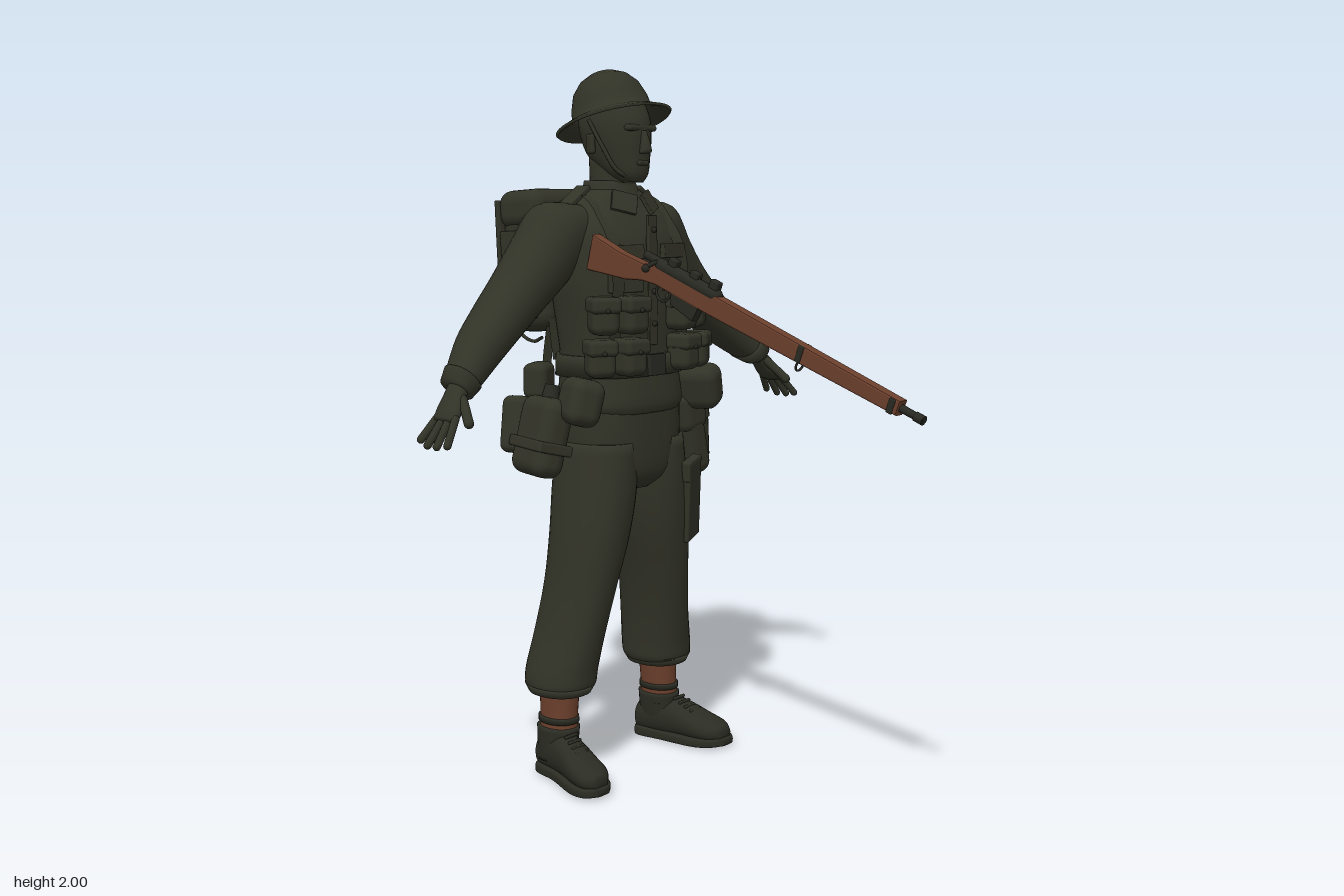
import * as THREE from 'three';
import { RoundedBoxGeometry } from 'three/addons/geometries/RoundedBoxGeometry.js';

const V = (x, y, z) => new THREE.Vector3(x, y, z);
const X = [1, 0, 0], Y = [0, 1, 0], Z = [0, 0, 1];

export function createModel() {
  const mat = (name, color, side = THREE.FrontSide) => {
    const m = new THREE.MeshStandardMaterial({ color, side });
    m.name = name;
    return m;
  };
  const cloth = mat('olive cloth', 0x323327, THREE.DoubleSide);
  const boot = mat('boot leather', 0x2b2c23);
  const wood = mat('brown wood and gaiter', 0x6b3f2c);
  const metal = mat('dark metal', 0x282922);

  const root = new THREE.Group();
  root.name = 'soldier';
  const add = (name, geo, m, pos = [0, 0, 0], rot = [0, 0, 0], parent = root) => {
    const mesh = new THREE.Mesh(geo, m);
    mesh.name = name;
    mesh.position.set(...pos);
    mesh.rotation.set(...rot);
    parent.add(mesh);
    return mesh;
  };
  const box = (name, size, pos, rot, m = cloth, parent = root, r = 0.2) =>
    add(name, new RoundedBoxGeometry(...size, 3, Math.min(...size) * r), m, pos, rot, parent);
  const tube = (name, pts, r, m, parent = root) =>
    add(name, new THREE.TubeGeometry(new THREE.CatmullRomCurve3(pts.map(p => V(...p))), 20, r, 6), m, undefined, undefined, parent);
  const rod = (name, a, b, r, m = cloth) => {
    const p = V(...a), q = V(...b), d = q.clone().sub(p);
    const mesh = add(name, new THREE.CapsuleGeometry(r, d.length(), 4, 10), m, p.clone().add(q).multiplyScalar(0.5).toArray());
    mesh.quaternion.setFromUnitVectors(V(0, 1, 0), d.normalize());
    return mesh;
  };

  // Smooth skin through oval sections [x, y, z, radius along u, radius along v]
  const loft = (name, rows, m = cloth, { u = X, v = Z, s = 1, power = 2.2, seg = 28, sub = 4 } = {}) => {
    const U = V(u[0] * s, u[1], u[2]), W = V(...v);
    const mid = new THREE.CatmullRomCurve3(rows.map(r => V(r[0] * s, r[1], r[2])), false, 'catmullrom');
    const rad = new THREE.CatmullRomCurve3(rows.map(r => V(r[3], r[4], 0)), false, 'catmullrom');
    const n = (rows.length - 1) * sub, pos = [], idx = [];
    const bend = k => Math.sign(k) * Math.abs(k) ** (2 / power);
    for (let i = 0; i <= n; i++) {
      const c = mid.getPoint(i / n), r = rad.getPoint(i / n);
      for (let j = 0; j < seg; j++) {
        const a = j / seg * Math.PI * 2;
        const p = c.clone().addScaledVector(U, r.x * bend(Math.cos(a))).addScaledVector(W, r.y * bend(Math.sin(a)));
        pos.push(p.x, p.y, p.z);
      }
    }
    const first = mid.getPoint(0), last = mid.getPoint(1);
    const flip = U.clone().cross(W).dot(last.clone().sub(first)) < 0;
    const tri = (a, b, c) => flip ? idx.push(a, c, b) : idx.push(a, b, c);
    for (let i = 0; i < n; i++) for (let j = 0; j < seg; j++) {
      const a = i * seg + j, b = i * seg + (j + 1) % seg;
      tri(a, b, b + seg);
      tri(a, b + seg, a + seg);
    }
    const e = pos.length / 3;
    pos.push(...first.toArray(), ...last.toArray());
    for (let j = 0; j < seg; j++) {
      const k = (j + 1) % seg;
      tri(e, k, j);
      tri(e + 1, n * seg + j, n * seg + k);
    }
    const g = new THREE.BufferGeometry();
    g.setAttribute('position', new THREE.Float32BufferAttribute(pos, 3));
    g.setIndex(idx);
    g.computeVertexNormals();
    return add(name, g, m);
  };

  // Flat webbing strap along [y, z] points, widened in x
  const strap = (name, x0, x1, w, path) => {
    const c = new THREE.CatmullRomCurve3(path.map((p, i) => V(x0 + (x1 - x0) * i / (path.length - 1), p[0], p[1])));
    const g = new THREE.PlaneGeometry(1, 1, 1, 40), p = g.attributes.position;
    for (let i = 0; i < p.count; i++) {
      const q = c.getPoint(Math.floor(i / 2) / 40);
      p.setXYZ(i, q.x + (i % 2 ? w : -w) / 2, q.y, q.z);
    }
    g.computeVertexNormals();
    add(name, g, cloth);
  };
  // Solid cut from a side profile of [z, y] points
  const profile = (pts, width, bevel) => new THREE.ExtrudeGeometry(new THREE.Shape(pts.map(p => new THREE.Vector2(...p))),
    { depth: width - 2 * bevel, bevelSize: bevel, bevelThickness: bevel, bevelSegments: 2 })
    .translate(0, 0, -(width - 2 * bevel) / 2).rotateY(-Math.PI / 2);

  // Helmet and head
  const rim = [[0.16, -0.006], [0.166, 0], [0.14, 0.012], [0.114, 0.022], [0.109, 0.055], [0.095, 0.095], [0.07, 0.124], [0.038, 0.141], [0, 0.147]];
  add('helmet', new THREE.LatheGeometry(rim.map(p => new THREE.Vector2(...p)), 48), cloth, [0, 1.855, -0.42], [-0.31, 0, 0]);
  loft('head', [[0, 1.69, -0.35, 0.028, 0.03], [0, 1.715, -0.372, 0.053, 0.063], [0, 1.76, -0.4, 0.07, 0.094],
    [0, 1.81, -0.412, 0.08, 0.108], [0, 1.86, -0.418, 0.083, 0.11], [0, 1.92, -0.42, 0.07, 0.09]]);
  loft('neck', [[0, 1.6, -0.44, 0.072, 0.075], [0, 1.68, -0.43, 0.06, 0.064], [0, 1.76, -0.43, 0.058, 0.066]]);
  loft('nose', [[0, 1.768, -0.305, 0.017, 0.014], [0, 1.78, -0.3, 0.017, 0.017], [0, 1.83, -0.308, 0.009, 0.01]]);
  box('brow', [0.11, 0.018, 0.03], [0, 1.838, -0.32], [0, 0, 0], cloth, root, 0.45);
  box('mouth', [0.045, 0.016, 0.02], [0, 1.743, -0.314], [0, 0, 0], cloth, root, 0.45);

  // Torso, collar, belt and seat
  loft('jacket', [[0, 1.05, -0.405, 0.178, 0.132], [0, 1.08, -0.405, 0.192, 0.138], [0, 1.15, -0.407, 0.184, 0.134],
    [0, 1.22, -0.41, 0.18, 0.13], [0, 1.32, -0.415, 0.188, 0.138], [0, 1.42, -0.42, 0.2, 0.142], [0, 1.52, -0.427, 0.2, 0.138],
    [0, 1.585, -0.433, 0.185, 0.116], [0, 1.635, -0.437, 0.135, 0.088], [0, 1.67, -0.437, 0.08, 0.07]], cloth, { power: 2.5, seg: 40 });
  loft('collar', [[0, 1.62, -0.43, 0.092, 0.09], [0, 1.65, -0.434, 0.084, 0.08], [0, 1.695, -0.44, 0.07, 0.07]]);
  loft('belt', [[0, 1.155, -0.409, 0.193, 0.144], [0, 1.215, -0.41, 0.19, 0.141]], cloth, { power: 2.5, seg: 40, sub: 1 });
  loft('trouserSeat', [[0, 0.83, -0.41, 0.06, 0.09], [0, 0.87, -0.41, 0.15, 0.125], [0, 0.95, -0.41, 0.185, 0.135], [0, 1.08, -0.407, 0.186, 0.134]], cloth, { power: 2.5 });
  box('buckle', [0.065, 0.06, 0.014], [0, 1.186, -0.264], [0, 0, 0], metal);
  box('placket', [0.035, 0.36, 0.012], [0, 1.42, -0.279], [0, 0, 0]);
  for (const y of [1.3, 1.39, 1.48, 1.56])
    add('button', new THREE.SphereGeometry(0.008, 8, 6), metal, [0, y, -0.27]);

  for (const s of [1, -1]) {
    // Head and chest details
    box('ear', [0.016, 0.055, 0.035], [s * 0.083, 1.795, -0.43], [0, s * 0.3, 0], cloth, root, 0.45);
    tube('chinStrap', [[s * 0.1, 1.86, -0.42], [s * 0.085, 1.79, -0.385], [s * 0.058, 1.72, -0.35], [0, 1.697, -0.326]], 0.006, cloth);
    box('collarFlap', [0.075, 0.06, 0.012], [s * 0.05, 1.635, -0.335], [-0.5, s * 0.35, s * 0.45]);
    box('chestPocket', [0.11, 0.12, 0.016], [s * 0.095, 1.45, -0.289], [0, s * 0.2, 0]);
    box('pocketFlap', [0.115, 0.04, 0.014], [s * 0.095, 1.5, -0.286], [-0.08, s * 0.2, 0]);
    strap('shoulderStrap', s * 0.14, s * 0.1, 0.045, [[1.22, -0.3], [1.32, -0.285], [1.42, -0.28], [1.52, -0.296], [1.59, -0.34],
      [1.64, -0.385], [1.657, -0.435], [1.63, -0.51], [1.57, -0.553], [1.45, -0.57], [1.3, -0.565], [1.19, -0.553]]);
    box('shoulderTab', [0.11, 0.014, 0.05], [s * 0.145, 1.646, -0.44], [0, 0, -s * 0.6]);

    // Stacked ammunition pouches with flaps and studs
    for (const [y, k] of [[1.33, 1], [1.215, 1.08]]) for (const [x, z, turn] of [[0.1, -0.263, 0.12], [0.18, -0.293, 0.5]]) {
      const p = new THREE.Group();
      p.name = 'ammoPouch';
      p.position.set(s * x * k, y, z);
      p.rotation.y = s * turn;
      root.add(p);
      box('pouchBody', [0.078, 0.095, 0.08], [0, -0.004, 0], [0, 0, 0], cloth, p, 0.3);
      box('pouchFlap', [0.084, 0.045, 0.088], [0, 0.03, 0.002], [0, 0, 0], cloth, p, 0.3);
      add('stud', new THREE.SphereGeometry(0.007, 8, 6), metal, [0, 0.016, 0.046], [0, 0, 0], p);
    }
    box('hipPouch', [0.1, 0.13, 0.13], [s * 0.245, 1.1, -0.32], [0, s * 0.4, s * 0.25], cloth, root, 0.35);
    box('rearPouch', [0.1, 0.1, 0.07], [s * 0.2, 1.14, -0.53], [0, -s * 0.5, 0], cloth, root, 0.3);

    // Arms and hands
    loft('sleeve', [[0.1, 1.585, -0.45, 0.065, 0.075], [0.175, 1.56, -0.46, 0.095, 0.1], [0.25, 1.475, -0.468, 0.09, 0.095],
      [0.33, 1.395, -0.468, 0.078, 0.085], [0.42, 1.315, -0.46, 0.068, 0.078], [0.5, 1.25, -0.443, 0.06, 0.068],
      [0.57, 1.19, -0.418, 0.046, 0.054], [0.605, 1.165, -0.403, 0.037, 0.046]], cloth, { u: [0.68, 0.73, 0], s });
    loft('cuff', [[0.575, 1.188, -0.415, 0.05, 0.058], [0.608, 1.163, -0.402, 0.042, 0.051]], cloth, { u: [0.68, 0.73, 0], s, sub: 1 });
    loft('palm', [[0.595, 1.172, -0.405, 0.024, 0.03], [0.625, 1.14, -0.392, 0.022, 0.035], [0.65, 1.107, -0.385, 0.02, 0.043],
      [0.668, 1.085, -0.382, 0.013, 0.04]], cloth, { u: [0.75, 0.66, 0], s });
    for (let i = 0; i < 4; i++) {
      const z = -0.416 + i * 0.023, k = [0.84, 1, 1, 0.92][i];
      rod('finger', [s * 0.66, 1.095, z], [s * (0.66 + 0.052 * k), 1.095 - 0.066 * k, z - 0.016 + i * 0.013], 0.0105);
    }
    rod('thumb', [s * 0.62, 1.14, -0.365], [s * 0.648, 1.085, -0.31], 0.013);

    // Trouser legs
    loft('trouserLeg', [[0.098, 0.97, -0.408, 0.09, 0.128], [0.106, 0.84, -0.41, 0.1, 0.132], [0.127, 0.7, -0.412, 0.096, 0.124],
      [0.152, 0.56, -0.425, 0.084, 0.116], [0.178, 0.42, -0.445, 0.083, 0.112], [0.198, 0.32, -0.458, 0.092, 0.108],
      [0.203, 0.27, -0.46, 0.09, 0.102], [0.205, 0.245, -0.46, 0.06, 0.07]], cloth, { s });
    loft('hemBand', [[0.204, 0.275, -0.46, 0.092, 0.105], [0.205, 0.25, -0.46, 0.08, 0.092]], cloth, { s, sub: 1 });

    // Gaiters and boots
    loft('gaiter', [[0.213, 0.12, -0.46, 0.05, 0.062], [0.211, 0.17, -0.46, 0.045, 0.058], [0.207, 0.27, -0.46, 0.05, 0.062]], wood, { s });
    loft('gaiterStrap', [[0.212, 0.163, -0.46, 0.05, 0.063], [0.212, 0.18, -0.46, 0.049, 0.063]], boot, { s, sub: 1 });
    loft('bootShaft', [[0.217, 0.05, -0.463, 0.045, 0.064], [0.215, 0.1, -0.462, 0.05, 0.064], [0.213, 0.15, -0.461, 0.053, 0.066]], boot, { s });
    loft('bootFoot', [[0.208, 0.055, -0.53, 0.025, 0.035], [0.21, 0.064, -0.515, 0.042, 0.05], [0.22, 0.076, -0.44, 0.05, 0.062],
      [0.235, 0.07, -0.38, 0.052, 0.056], [0.25, 0.056, -0.32, 0.057, 0.042], [0.26, 0.047, -0.27, 0.052, 0.032],
      [0.265, 0.042, -0.238, 0.026, 0.02]], boot, { u: X, v: Y, s });
    loft('sole', [[0.207, 0.017, -0.534, 0.026, 0.014], [0.211, 0.017, -0.51, 0.046, 0.017], [0.224, 0.016, -0.43, 0.048, 0.016],
      [0.25, 0.015, -0.32, 0.063, 0.015], [0.262, 0.017, -0.262, 0.055, 0.014], [0.267, 0.02, -0.23, 0.026, 0.012]],
    boot, { u: X, v: Y, s, power: 5 });
    for (let i = 0; i < 4; i++)
      rod('lace', [s * (0.21 + i * 0.004), 0.134 - i * 0.011, -0.392 + i * 0.018], [s * (0.25 + i * 0.004), 0.134 - i * 0.011, -0.392 + i * 0.018], 0.005, boot);
  }

  // Thigh pocket
  box('thighPocket', [0.1, 0.24, 0.025], [0.185, 0.77, -0.3], [0.08, 0.4, 0.08]);
  box('thighPocketFlap', [0.105, 0.06, 0.03], [0.176, 0.865, -0.292], [0.08, 0.4, 0.08]);

  // Backpack with lid, straps and side folds
  box('backpack', [0.33, 0.39, 0.155], [0, 1.46, -0.648], [-0.06, 0, 0], cloth, root, 0.35);
  box('backpackLid', [0.35, 0.11, 0.17], [0, 1.615, -0.643], [-0.06, 0, 0], cloth, root, 0.35);
  box('backpackFlap', [0.34, 0.25, 0.02], [0, 1.515, -0.722], [-0.04, 0, 0]);
  for (const s of [1, -1]) {
    box('packStrap', [0.025, 0.32, 0.012], [s * 0.075, 1.45, -0.735], [-0.04, 0, s * 0.04]);
    box('packSideFlap', [0.02, 0.25, 0.12], [s * 0.164, 1.43, -0.645], [-0.06, 0, 0]);
    tube('looseStrap', [[s * 0.08, 1.29, -0.735], [s * 0.09, 1.255, -0.72], [s * 0.1, 1.235, -0.66], [s * 0.12, 1.25, -0.6]], 0.005, cloth);
    strap('backStrap', s * 0.1, s * 0.17, 0.035, [[1.3, -0.58], [1.2, -0.575], [1.1, -0.56], [1.03, -0.545]]);
  }

  // Side bag and mess tin on the left hip
  box('sideBag', [0.095, 0.27, 0.28], [0.252, 0.96, -0.465], [0, 0, 0.22], cloth, root, 0.4);
  box('sideBagFlap', [0.108, 0.13, 0.285], [0.24, 1.025, -0.465], [0, 0, 0.22], cloth, root, 0.3);
  const tin = new THREE.Group();
  tin.name = 'messTin';
  tin.position.set(0.357, 0.945, -0.478);
  tin.rotation.z = 0.08;
  tin.scale.x = 0.75;
  root.add(tin);
  add('tinBody', new THREE.CylinderGeometry(0.084, 0.08, 0.15, 32), cloth, [0, -0.005, 0], [0, 0, 0], tin);
  add('tinLid', new THREE.CylinderGeometry(0.086, 0.088, 0.04, 32), cloth, [0, 0.06, 0], [0, 0, 0], tin);
  tube('tinHandle', [[0.085, 0.05, -0.05], [0.1, 0, -0.02], [0.1, -0.04, 0.02], [0.085, -0.06, 0.03]], 0.006, metal, tin);

  // Water bottle in its carrier on the right hip
  box('waterBottle', [0.095, 0.22, 0.17], [-0.29, 1.0, -0.425], [0, -0.25, -0.25], cloth, root, 0.4);
  box('bottleBand', [0.105, 0.03, 0.178], [-0.297, 0.975, -0.425], [0, -0.25, -0.25]);
  add('bottleCap', new THREE.CylinderGeometry(0.02, 0.025, 0.04, 16), metal, [-0.258, 1.12, -0.42], [0, 0, -0.25]);
  box('bottlePouch', [0.08, 0.16, 0.08], [-0.27, 1.02, -0.545], [0, 0.4, -0.2], cloth, root, 0.3);

  // Rifle, sloping down to the front
  const rifle = new THREE.Group();
  rifle.name = 'rifle';
  rifle.position.set(-0.17, 1.42, 0);
  rifle.rotation.x = 0.368;
  root.add(rifle);
  const part = (name, geo, m, pos, rot) => add(name, geo, m, pos, rot, rifle);
  part('rifleStock', profile([[0.715, 0.015], [0.715, -0.014], [0.45, -0.02], [0.1, -0.028], [-0.09, -0.028], [-0.14, -0.036], [-0.2, -0.058],
    [-0.335, -0.088], [-0.345, 0.0], [-0.24, -0.006], [-0.15, -0.002], [-0.1, 0.014], [0.1, 0.017]], 0.034, 0.005), wood);
  part('barrel', new THREE.CylinderGeometry(0.009, 0.011, 0.12, 12), metal, [0, 0, 0.728], [Math.PI / 2, 0, 0]);
  part('muzzle', new THREE.CylinderGeometry(0.012, 0.012, 0.025, 12), metal, [0, 0, 0.775], [Math.PI / 2, 0, 0]);
  part('receiver', new THREE.CapsuleGeometry(0.019, 0.2, 4, 12), metal, [0, 0.018, 0.0], [Math.PI / 2, 0, 0]);
  part('bolt', new THREE.CylinderGeometry(0.011, 0.011, 0.08, 12), metal, [0, 0.024, -0.12], [Math.PI / 2, 0, 0]);
  part('magazine', profile([[0.065, -0.02], [0.055, -0.068], [-0.025, -0.058], [-0.035, -0.02]], 0.026, 0.004), metal);
  part('triggerGuard', new THREE.TorusGeometry(0.024, 0.004, 6, 20), metal, [0, -0.045, -0.07], [0, Math.PI / 2, 0]);
  tube('boltHandle', [[0, 0.024, -0.11], [-0.025, 0.02, -0.11], [-0.038, 0.008, -0.115]], 0.006, metal, rifle);
  part('boltKnob', new THREE.SphereGeometry(0.011, 12, 8), metal, [-0.04, 0.004, -0.116]);
  for (const [z, h] of [[0.09, 0.05], [-0.06, 0.045], [0.02, 0.04]])
    box('sight', [0.022, h * 0.6, 0.03], [0, 0.03 + h * 0.2, z], [0, 0, 0], metal, rifle);
  for (const [z, h] of [[0.41, 0.044], [0.7, 0.038]])
    box('barrelBand', [0.04, h, 0.018], [0, -0.002, z], [0, 0, 0], metal, rifle);
  part('slingSwivel', new THREE.TorusGeometry(0.014, 0.003, 6, 16), metal, [0, -0.034, 0.41]);
  return root;
}
